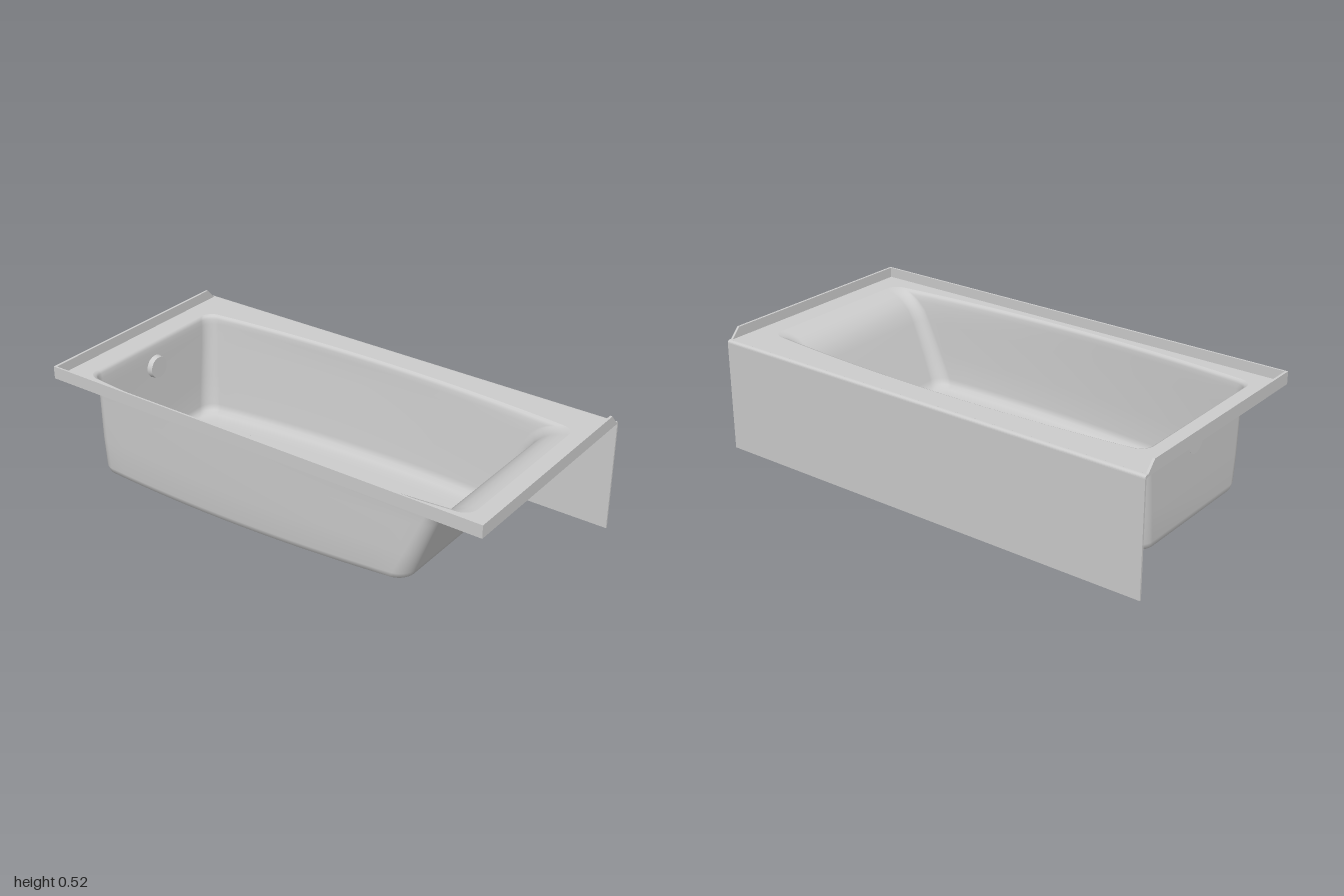
import * as THREE from 'three';

const material = new THREE.MeshStandardMaterial({ color: 0xcccccc, side: THREE.DoubleSide });

function addMesh(parent, name, geometry, x = 0, y = 0, z = 0) {
  const mesh = new THREE.Mesh(geometry, material);
  mesh.name = name;
  mesh.position.set(x, y, z);
  parent.add(mesh);
  return mesh;
}

// Basin sections from rim to floor:
// [height, left end x, right end x, centre z, half width at ends, side bow, corner radius, floor tilt]
const SECTIONS = [
  [0.482, -0.900, 0.900, 0.037, 0.375, 0.050, 0.05, 0],
  [0.477, -0.892, 0.870, 0.037, 0.365, 0.050, 0.05, 0],
  [0.466, -0.888, 0.835, 0.038, 0.361, 0.050, 0.05, 0],
  [0.445, -0.886, 0.800, 0.038, 0.360, 0.050, 0.05, 0],
  [0.410, -0.885, 0.765, 0.040, 0.358, 0.050, 0.05, 0],
  [0.360, -0.884, 0.739, 0.042, 0.356, 0.049, 0.05, 0],
  [0.200, -0.880, 0.685, 0.052, 0.350, 0.044, 0.055, 0.5],
  [0.070, -0.876, 0.641, 0.057, 0.343, 0.040, 0.06, 1],
  [0.045, -0.870, 0.631, 0.057, 0.335, 0.040, 0.06, 1],
  [0.032, -0.855, 0.612, 0.057, 0.315, 0.040, 0.06, 1],
  [0.026, -0.830, 0.585, 0.057, 0.285, 0.040, 0.06, 1],
  [0.024, -0.790, 0.540, 0.057, 0.240, 0.035, 0.06, 1],
];
const TILT = 0.03;
const CORNER_STEPS = 7;
const SIDE_STEPS = 16;

// Rounded rectangle with its two long sides bowed outwards
function sectionRing([y, xl, xr, cz, w, bow, r, tilt]) {
  const mid = (xl + xr) / 2, half = (xr - xl) / 2;
  const corners = [[1, 1, 0], [-1, 1, 1], [-1, -1, 2], [1, -1, 3]];
  const flat = [];
  for (const [sx, sz, quarter] of corners) {
    for (let i = 0; i <= CORNER_STEPS; i++) {
      const a = (quarter + i / CORNER_STEPS) * Math.PI / 2;
      flat.push([sx * (half - r) + r * Math.cos(a), sz * (w - r) + r * Math.sin(a)]);
    }
    if (quarter % 2 === 0) {
      for (let i = 1; i < SIDE_STEPS; i++) {
        flat.push([sx * (half - r) * (1 - 2 * i / SIDE_STEPS), sz * w]);
      }
    }
  }
  return flat.map(([x, z]) => {
    const u = x / half;
    return new THREE.Vector3(
      mid + x,
      y + tilt * TILT * (mid + x + 0.87),
      cz + z * (1 + (bow / w) * (1 - u * u))
    );
  });
}

// Skin joining the rings, closed by a fan across the floor
function basinGeometry(rings) {
  const n = rings[0].length;
  const points = rings.flat();
  const index = [];
  for (let j = 0; j < rings.length - 1; j++) {
    for (let i = 0; i < n; i++) {
      const a = j * n + i, b = j * n + (i + 1) % n;
      index.push(a, b, a + n, b, b + n, a + n);
    }
  }
  const last = rings[rings.length - 1];
  const centre = last.reduce((s, p) => s.add(p), new THREE.Vector3()).divideScalar(n);
  centre.y = 0.024 + TILT * (centre.x + 0.87);
  points.push(centre);
  const base = (rings.length - 1) * n;
  for (let i = 0; i < n; i++) index.push(base + i, base + (i + 1) % n, points.length - 1);
  const geometry = new THREE.BufferGeometry().setFromPoints(points);
  geometry.setIndex(index);
  geometry.computeVertexNormals();
  return geometry;
}

export function createModel() {
  const tub = new THREE.Group();
  tub.name = 'bathtub';

  // Basin
  const rings = SECTIONS.map(sectionRing);
  addMesh(tub, 'basin', basinGeometry(rings));

  // Flat rim around the opening
  const rimShape = new THREE.Shape([[-1, -0.5], [1, -0.5], [1, 0.485], [-1, 0.485]]
    .map(([x, y]) => new THREE.Vector2(x, y)));
  rimShape.holes.push(new THREE.Path(rings[0].map(p => new THREE.Vector2(p.x, -p.z))));
  const rimGeometry = new THREE.ExtrudeGeometry(rimShape, { depth: 0.01, bevelEnabled: false });
  rimGeometry.rotateX(-Math.PI / 2);
  addMesh(tub, 'rim', rimGeometry, 0, 0.472, 0);

  // Upstanding flanges along the front and both ends
  addMesh(tub, 'frontFlange', new THREE.BoxGeometry(2, 0.051, 0.008), 0, 0.4995, 0.496);
  const endShape = new THREE.Shape([[-0.5, 0.474], [0.488, 0.474], [0.442, 0.525], [-0.5, 0.525]]
    .map(([x, y]) => new THREE.Vector2(x, y)));
  const endGeometry = new THREE.ExtrudeGeometry(endShape, { depth: 0.01, bevelEnabled: false });
  endGeometry.rotateY(Math.PI / 2).translate(-0.005, 0, 0);
  for (const side of [-1, 1]) {
    addMesh(tub, side > 0 ? 'leftFlange' : 'rightFlange', endGeometry, side * 0.995, 0, 0);
  }

  // Apron panel with a rounded top edge running into the rim
  const apronShape = new THREE.Shape();
  apronShape.moveTo(0.5, 0);
  apronShape.lineTo(0.5, 0.47);
  apronShape.quadraticCurveTo(0.5, 0.482, 0.484, 0.482);
  apronShape.lineTo(0.484, 0.472);
  apronShape.lineTo(0.492, 0.468);
  apronShape.lineTo(0.492, 0);
  const apronGeometry = new THREE.ExtrudeGeometry(apronShape, { depth: 2, bevelEnabled: false, curveSegments: 6 });
  apronGeometry.rotateY(Math.PI / 2).translate(-1, 0, 0);
  addMesh(tub, 'apron', apronGeometry);

  // Support feet, reaching up to the sloping floor
  for (const x of [-0.595, 0.465]) {
    const height = 0.025 + TILT * (x + 0.87);
    for (const z of [-0.153, 0.228]) {
      addMesh(tub, 'foot', new THREE.BoxGeometry(0.05, height, 0.115), x, height / 2, z);
    }
  }

  // Drain
  const drain = new THREE.Group();
  drain.name = 'drain';
  drain.position.set(-0.76, 0, 0.035);
  tub.add(drain);
  addMesh(drain, 'drainBody', new THREE.CylinderGeometry(0.06, 0.05, 0.017, 32), 0, 0.0205, 0);
  const ring = new THREE.TorusGeometry(0.052, 0.005, 8, 32).rotateX(Math.PI / 2);
  addMesh(drain, 'drainRing', ring, 0, 0.029, 0);

  // Overflow cover on the upright end wall
  const cover = new THREE.CylinderGeometry(0.046, 0.05, 0.022, 32).rotateZ(-Math.PI / 2);
  addMesh(tub, 'overflowCover', cover, -0.873, 0.375, 0.035);

  return tub;
}
